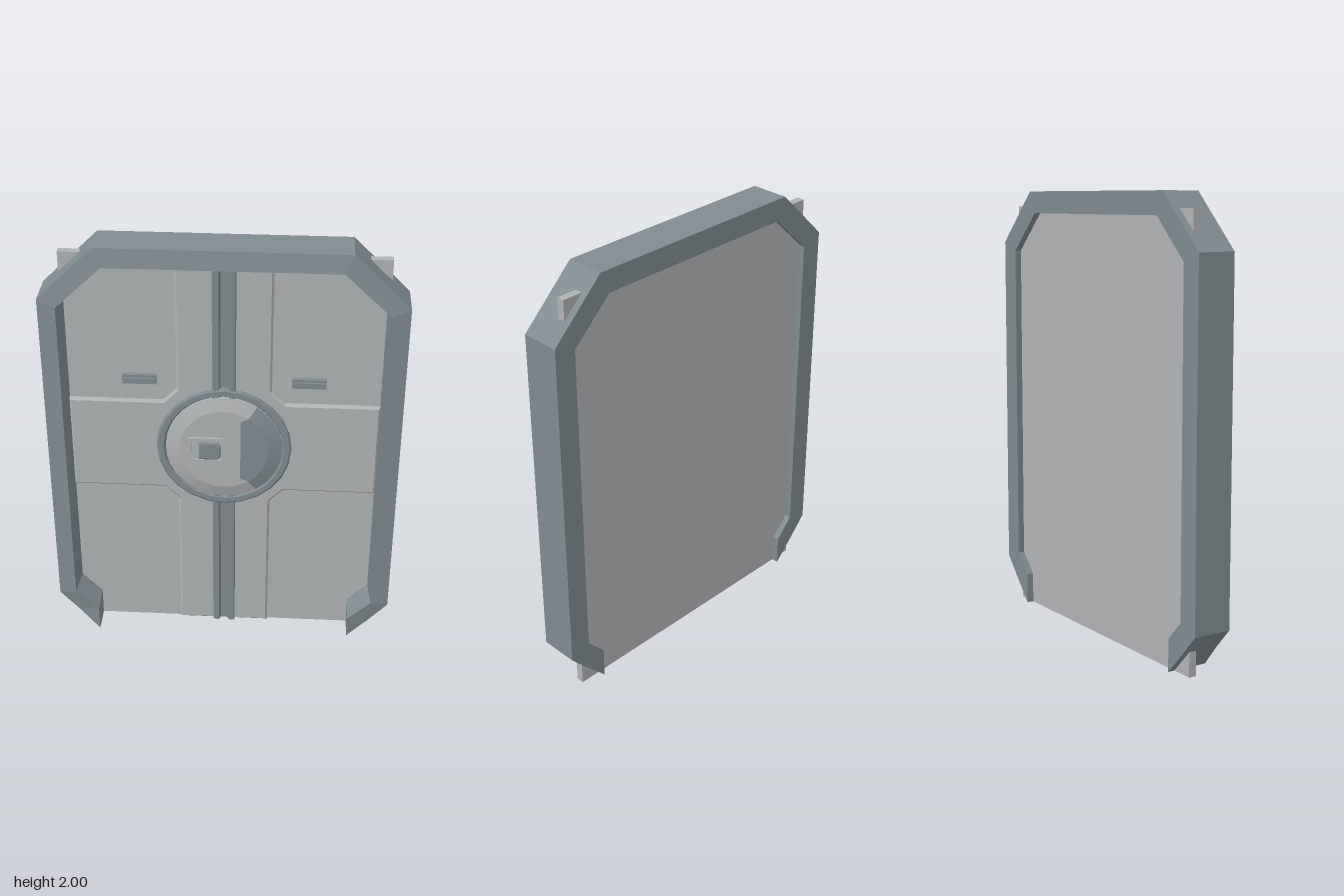
import * as THREE from 'three';

const steel = new THREE.MeshStandardMaterial({ color: 0x808b90, flatShading: true });
steel.name = 'blue grey steel';
const pale = new THREE.MeshStandardMaterial({ color: 0xb0b3b4, flatShading: true });
pale.name = 'pale grey panel';

const vec = (pts) => pts.map(([x, y]) => new THREE.Vector2(x, y));

function add(parent, name, geometry, material, x = 0, y = 0, z = 0) {
  const mesh = new THREE.Mesh(geometry, material);
  mesh.name = name;
  mesh.position.set(x, y, z);
  parent.add(mesh);
  return mesh;
}

function roundedRect(x0, y0, x1, y1, r, Type = THREE.Shape) {
  const s = new Type();
  s.absarc(x1 - r, y1 - r, r, 0, Math.PI / 2);
  s.absarc(x0 + r, y1 - r, r, Math.PI / 2, Math.PI);
  s.absarc(x0 + r, y0 + r, r, Math.PI, Math.PI * 1.5);
  s.absarc(x1 - r, y0 + r, r, Math.PI * 1.5, Math.PI * 2);
  s.closePath();
  return s;
}

// Lathe turned so that its axis points to the front
function frontLathe(profile, segments, start = 0, length = Math.PI * 2) {
  return new THREE.LatheGeometry(vec(profile), segments, start, length).rotateX(Math.PI / 2);
}

// Chamfered surround, lofted from four outlines and open at the floor
function frameGeometry() {
  const mirror = (half) => [...half, ...half.map(([x, y]) => [-x, y]).reverse()];
  const outer = mirror([[0.595, 0], [0.69, 0.1], [0.78, 0.2], [0.78, 1.76], [0.535, 2]]);
  const innerFront = mirror([[0.595, 0], [0.595, 0.12], [0.7, 0.22], [0.7, 1.73], [0.5, 1.92]]);
  const innerBack = mirror([[0.595, 0], [0.595, 0.145], [0.68, 0.235], [0.68, 1.72], [0.492, 1.9]]);
  const rings = [[outer, -0.097], [outer, 0.08], [innerFront, 0.097], [innerBack, -0.097]];
  const positions = [];
  const index = [];
  const n = outer.length;
  for (const [line, z] of rings) for (const [x, y] of line) positions.push(x, y, z);
  for (let j = 0; j < 4; j++) {
    const k = (j + 1) % 4;
    for (let i = 0; i < n - 1; i++) {
      const a = j * n + i, b = a + 1, d = k * n + i, c = d + 1;
      index.push(a, b, c, a, c, d);
    }
  }
  const g = new THREE.BufferGeometry();
  g.setAttribute('position', new THREE.Float32BufferAttribute(positions, 3));
  g.setIndex(index);
  const flat = g.toNonIndexed();
  flat.computeVertexNormals();
  return flat;
}

export function createModel() {
  const door = new THREE.Group();
  door.name = 'door';

  add(door, 'frame', frameGeometry(), steel);
  add(door, 'doorPanel', new THREE.BoxGeometry(1.4, 1.93, 0.035), pale, 0, 0.965, -0.0475);

  // Raised cross in two halves, with a handle on each side
  for (const side of [1, -1]) {
    const half = new THREE.Shape(vec([
      [0.04, 0], [0.21, 0], [0.21, 0.71], [0.27, 0.77], [0.69, 0.77],
      [0.69, 1.23], [0.27, 1.23], [0.21, 1.29], [0.21, 1.91], [0.04, 1.91],
    ].map(([x, y]) => [x * side, y])));
    const g = new THREE.ExtrudeGeometry(half, {
      depth: 0.008, bevelThickness: 0.01, bevelSize: 0.01, bevelOffset: -0.01, bevelSegments: 1,
    });
    add(door, side > 0 ? 'leftCrossPanel' : 'rightCrossPanel', g, pale, 0, 0, -0.03);

    const handle = new THREE.Group();
    handle.name = side > 0 ? 'leftHandle' : 'rightHandle';
    handle.position.set(0.372 * side, 1.338, -0.03);
    add(handle, 'handlePlate', new THREE.BoxGeometry(0.15, 0.044, 0.02), steel, 0, 0, 0.01);
    add(handle, 'handleBar', new THREE.BoxGeometry(0.14, 0.02, 0.01), steel, 0, 0, 0.024);
    door.add(handle);
  }

  // Centre seam: two rails with a groove between
  const seam = new THREE.Shape(vec([
    [-0.052, 0.03], [-0.052, 0.009], [-0.046, 0.004], [-0.024, 0.004], [-0.016, 0.022],
    [0.016, 0.022], [0.024, 0.004], [0.046, 0.004], [0.052, 0.009], [0.052, 0.03],
  ]));
  const seamGeometry = new THREE.ExtrudeGeometry(seam, { depth: 1.91, bevelEnabled: false });
  add(door, 'centreSeam', seamGeometry.rotateX(-Math.PI / 2), steel);

  // Round lock in the middle
  const lock = new THREE.Group();
  lock.name = 'lock';
  lock.position.set(0, 1, 0);
  door.add(lock);
  add(lock, 'lockRing', frontLathe(
    [[0.307, -0.03], [0.303, -0.006], [0.295, 0], [0.272, 0], [0.262, -0.014]], 24), steel);
  add(lock, 'lockDisc', frontLathe(
    [[0.262, -0.03], [0.262, -0.004], [0.2, 0.014], [0, 0.014]], 32), pale);

  // Painted patch on the disc's flat face and its bevel
  const spread = Math.PI * 5 / 16;
  const patch = [[0.075, 0.15], [0.075, -0.15]];
  for (let i = 0; i <= 10; i++) {
    const a = -spread + (2 * spread * i) / 10;
    patch.push([0.2 * Math.cos(a), 0.2 * Math.sin(a)]);
  }
  add(lock, 'patchFace', new THREE.ShapeGeometry(new THREE.Shape(vec(patch))), steel, 0, 0, 0.0155);
  add(lock, 'patchBevel', frontLathe(
    [[0.2625, -0.0025], [0.2, 0.0155]], 10, Math.PI / 2 - spread, 2 * spread), steel);

  // Latch: rounded surround, recessed plate and D-shaped grip
  const surround = roundedRect(-0.16, -0.062, 0.006, 0.064, 0.018);
  surround.holes.push(roundedRect(-0.145, -0.05, -0.005, 0.052, 0.012, THREE.Path));
  add(lock, 'latchSurround', new THREE.ExtrudeGeometry(surround, {
    depth: 0.01, bevelEnabled: false, curveSegments: 3,
  }), pale, 0, 0, 0.014);
  add(lock, 'latchPlate', new THREE.ShapeGeometry(
    roundedRect(-0.15, -0.054, -0.001, 0.056, 0.012), 3), pale, 0, 0, 0.0165);
  const grip = new THREE.Shape(vec([
    [-0.112, -0.048], [-0.03, -0.048], [-0.012, -0.03], [-0.012, 0.025], [-0.026, 0.04], [-0.112, 0.04],
  ]));
  add(lock, 'latchGrip', new THREE.ExtrudeGeometry(grip, {
    depth: 0.006, bevelThickness: 0.004, bevelSize: 0.006, bevelOffset: -0.006, bevelSegments: 1,
  }), steel, 0, 0, 0.016);

  return door;
}
